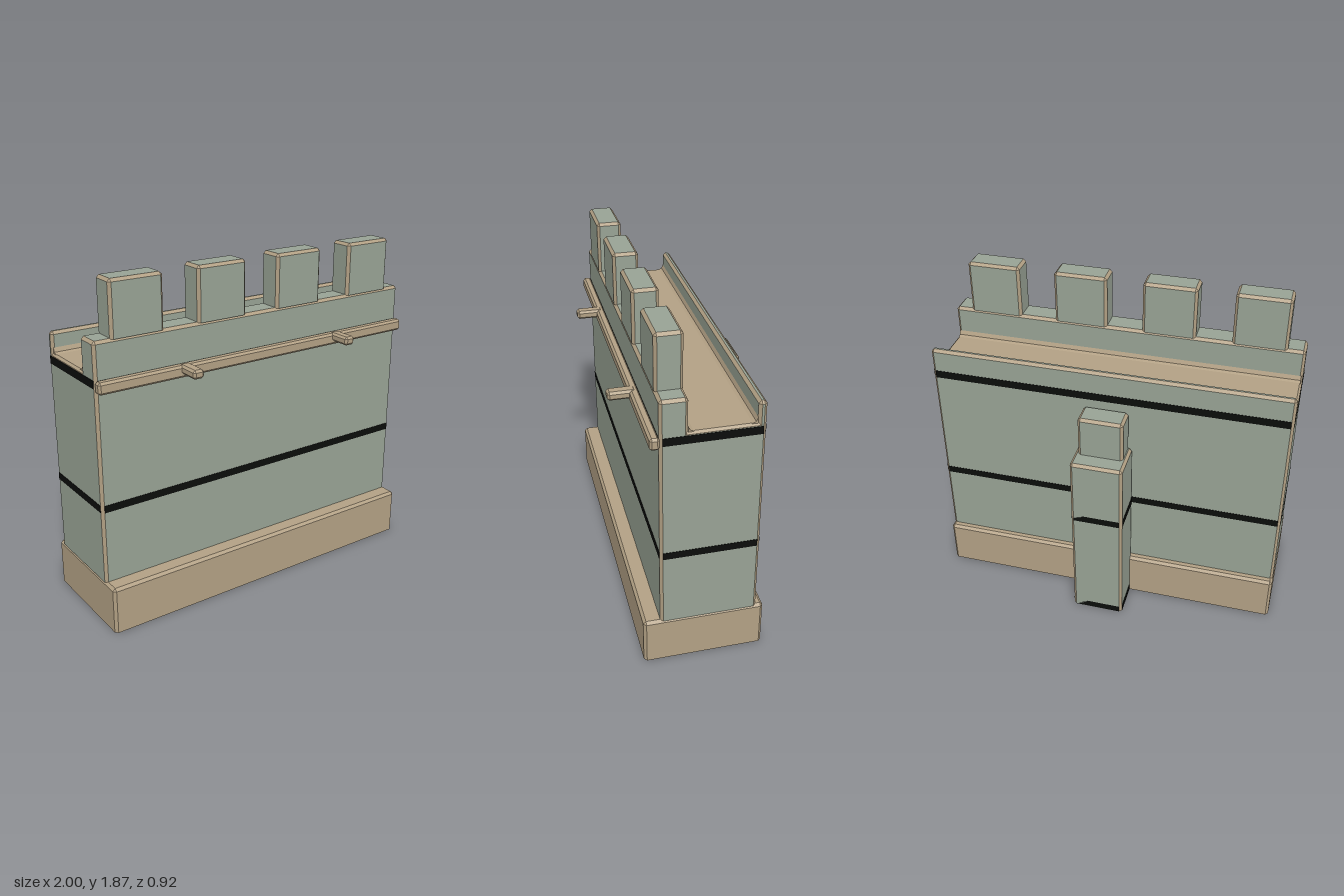
import * as THREE from 'three';

const mat = (name, color) => {
  const m = new THREE.MeshStandardMaterial({ color, side: THREE.DoubleSide });
  m.name = name;
  return m;
};

// Bevelled block from min to max corner: group 0 holds the faces, group 1 the bevels.
// Open ends have neither face nor bevel there.
function bevelBlock(min, max, b, openBottom = false, openTop = false) {
  const faces = [], bevels = [];
  const centre = min.map((v, i) => (v + max[i]) / 2);
  const open = (axis, s) => axis === 1 && (s < 0 ? openBottom : openTop);
  // Corner point lying on the face across the given axis
  const point = (axis, s) => new THREE.Vector3(...s.map((k, i) => {
    const inset = i === axis || open(i, k) ? 0 : b;
    return k < 0 ? min[i] + inset : max[i] - inset;
  }));
  const tri = (list, p, q, r) => {
    const n = q.clone().sub(p).cross(r.clone().sub(p));
    const out = p.clone().add(q).add(r).divideScalar(3).sub(new THREE.Vector3(...centre));
    const order = n.dot(out) < 0 ? [p, r, q] : [p, q, r];
    order.forEach(v => list.push(v.x, v.y, v.z));
  };
  const quad = (list, p, q, r, s) => { tri(list, p, q, r); tri(list, p, r, s); };
  const signs = (a, sa, c, sc, d, sd) => { const s = []; s[a] = sa; s[c] = sc; s[d] = sd; return s; };
  for (let a = 0; a < 3; a++) {
    const c = (a + 1) % 3, d = (a + 2) % 3;
    for (const sa of [-1, 1]) {
      if (!open(a, sa)) {
        quad(faces, ...[[-1, -1], [1, -1], [1, 1], [-1, 1]].map(([i, j]) => point(a, signs(a, sa, c, i, d, j))));
      }
      // Bevel between faces a and c, running along d
      for (const sc of [-1, 1]) {
        if (open(a, sa) || open(c, sc)) continue;
        const lo = signs(a, sa, c, sc, d, -1), hi = signs(a, sa, c, sc, d, 1);
        quad(bevels, point(a, lo), point(a, hi), point(c, hi), point(c, lo));
      }
    }
  }
  // Corner triangles
  for (const x of [-1, 1]) for (const y of [-1, 1]) for (const z of [-1, 1]) {
    if (!open(1, y)) tri(bevels, point(0, [x, y, z]), point(1, [x, y, z]), point(2, [x, y, z]));
  }
  const g = new THREE.BufferGeometry();
  g.setAttribute('position', new THREE.Float32BufferAttribute(faces.concat(bevels), 3));
  g.computeVertexNormals();
  g.addGroup(0, faces.length / 3, 0);
  g.addGroup(faces.length / 3, bevels.length / 3, 1);
  return g;
}

export function createModel() {
  const model = new THREE.Group();
  model.name = 'castleWall';
  const sage = mat('sageStone', 0x98a294);
  const tan = mat('tanTrim', 0xb2a084);
  const black = mat('blackBand', 0x0b0d0b);

  const block = (name, min, max, b, face, openBottom, openTop) => {
    const m = new THREE.Mesh(bevelBlock(min, max, b, openBottom, openTop), [face, tan]);
    m.name = name;
    model.add(m);
    return m;
  };

  // Four thin plates around a block, stopping short of its bevelled corners
  const band = (name, [x0, x1], [y0, y1], [z0, z1], b) => {
    const ring = new THREE.Group();
    ring.name = name;
    const t = 0.004, h = y1 - y0, cx = (x0 + x1) / 2, cz = (z0 + z1) / 2;
    const plate = (w, d, x, z) => {
      const p = new THREE.Mesh(new THREE.BoxGeometry(w, h, d), black);
      p.name = 'bandPlate';
      p.position.set(x, (y0 + y1) / 2, z);
      ring.add(p);
    };
    for (const z of [z0, z1]) plate(x1 - x0 - 2 * b, t, cx, z);
    for (const x of [x0, x1]) plate(t, z1 - z0 - 2 * b, x, cz);
    model.add(ring);
  };

  const B = 0.015;

  // Plinth, hollow underneath
  block('plinth', [-1, 0, -0.26], [1, 0.265, 0.39], B, tan, true);

  // Main wall with its bands
  block('wall', [-0.998, 0.26, -0.22], [0.998, 1.385, 0.3], B, sage, true, true);
  band('middleBand', [-0.998, 0.998], [0.67, 0.71], [-0.22, 0.3], B);
  band('upperBand', [-0.998, 0.998], [1.34, 1.383], [-0.22, 0.3], B);

  // Walkway between the parapet and the rear lip
  block('walkway', [-0.998, 1.37, -0.2], [0.998, 1.4, 0.18], 0.012, tan);
  block('parapet', [-0.998, 1.385, 0.16], [0.998, 1.58, 0.3], B, sage, true);
  block('rearLip', [-0.998, 1.385, -0.22], [0.998, 1.515, -0.178], B, sage, true);

  // Sloped fillets along both sides of the walkway
  for (const [z, dir] of [[0.16, -1], [-0.178, 1]]) {
    const s = new THREE.Shape();
    s.moveTo(-z, 1.395);
    s.lineTo(-z - dir * 0.03, 1.398);
    s.lineTo(-z - dir * 0.009, 1.407);
    s.lineTo(-z, 1.43);
    s.closePath();
    const g = new THREE.ExtrudeGeometry(s, { depth: 1.98, bevelEnabled: false });
    g.rotateY(Math.PI / 2).translate(-0.99, 0, 0);
    const m = new THREE.Mesh(g, tan);
    m.name = 'walkwayFillet';
    model.add(m);
  }

  // Merlons
  for (const x of [-0.75, -0.25, 0.25, 0.75]) {
    block('merlon', [x - 0.15, 1.575, 0.16], [x + 0.15, 1.87, 0.3], B, sage, true);
  }

  // Front rail and its two pegs
  block('frontRail', [-1, 1.32, 0.295], [1, 1.385, 0.345], 0.012, tan);
  for (const x of [-0.5, 0.5]) {
    block('railPeg', [x - 0.032, 1.34, 0.31], [x + 0.032, 1.388, 0.458], 0.012, tan);
  }

  // Rear buttress, open underneath, with a smaller block on top
  block('buttress', [-0.147, 0, -0.458], [0.147, 1.067, -0.222], B, sage, true);
  band('buttressMiddleBand', [-0.147, 0.147], [0.67, 0.71], [-0.456, -0.224], B);
  band('buttressFootBand', [-0.147, 0.147], [0, 0.04], [-0.456, -0.224], B);
  block('buttressCap', [-0.126, 1.06, -0.36], [0.126, 1.3, -0.222], B, sage, true);

  return model;
}
